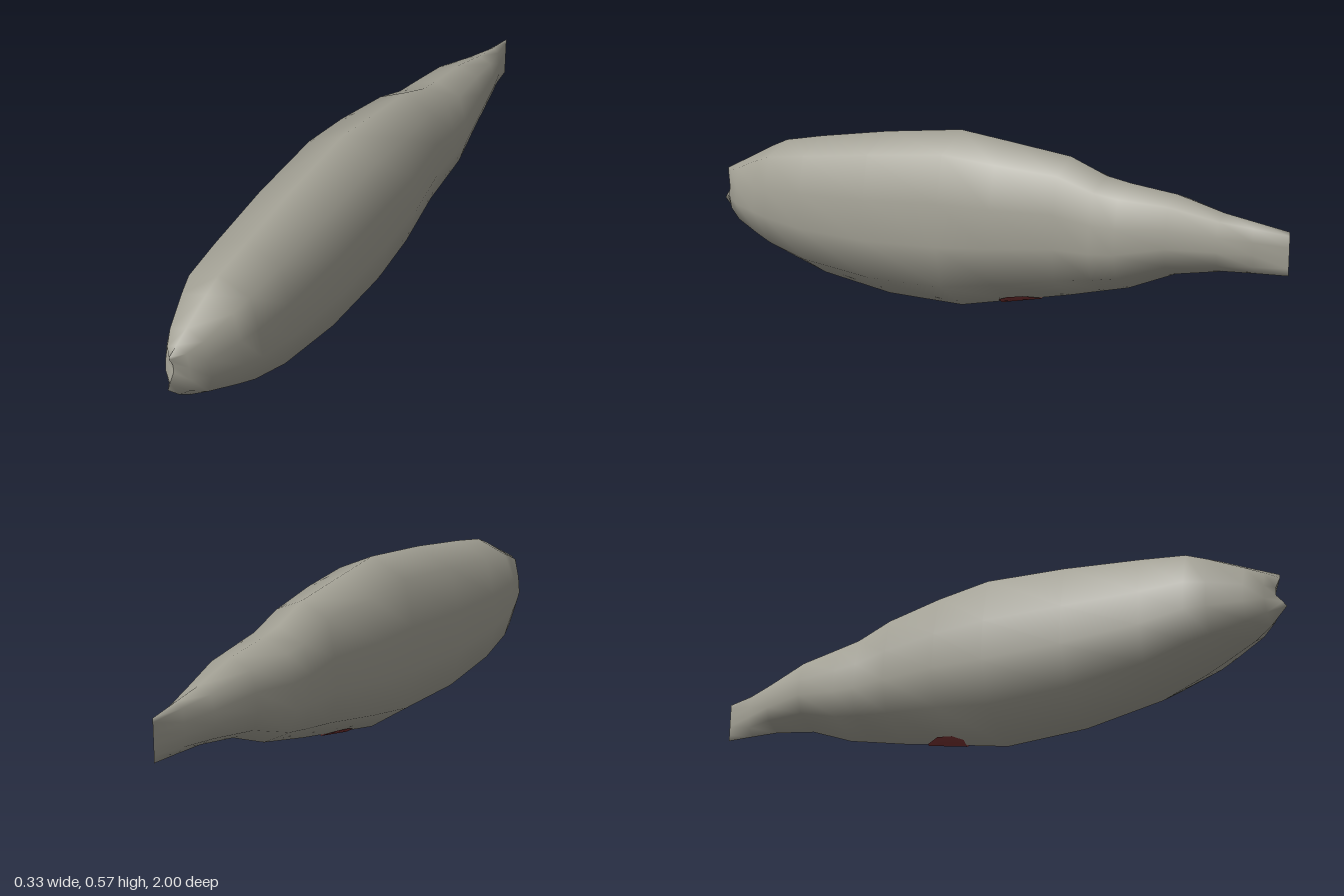
import * as THREE from 'three';

// Body stations from tail to nose: z, top y, bottom y, half width
const STATIONS = [
  [-1, 0.385, 0.255, 0],
  [-0.9, 0.4, 0.248, 0.028],
  [-0.8, 0.415, 0.24, 0.058],
  [-0.65, 0.452, 0.21, 0.093],
  [-0.5, 0.467, 0.145, 0.117],
  [-0.42, 0.48, 0.124, 0.119],
  [-0.3, 0.525, 0.092, 0.124],
  [-0.1, 0.547, 0.045, 0.155],
  [0.08, 0.566, 0.002, 0.161],
  [0.35, 0.532, 0, 0.163],
  [0.6, 0.49, 0.033, 0.151],
  [0.74, 0.462, 0.08, 0.139],
  [0.8, 0.435, 0.105, 0.118],
  [0.9, 0.383, 0.15, 0.077],
  [0.95, 0.358, 0.185, 0.043],
  [0.985, 0.34, 0.235, 0],
];

// Half cross-section from the back ridge to the keel: width share, height share
const HALF = [[0, 1], [0.74, 0.9], [0.93, 0.64], [1, 0.4], [0.8, 0.16], [0, 0]];
const SECTION = [...HALF, ...HALF.slice(1, -1).reverse().map(([w, h]) => [-w, h])];

// Small dent that forms the mouth, by height share on the last station
const mouthShift = (h) => (h < 0.05 ? 0.015 : h < 0.3 ? 0.005 : h < 0.8 ? -0.015 : 0);

// Interpolated station at any z
function stationAt(z) {
  let i = 0;
  while (i < STATIONS.length - 2 && STATIONS[i + 1][0] < z) i++;
  const a = STATIONS[i], b = STATIONS[i + 1];
  const t = (z - a[0]) / (b[0] - a[0]);
  return a.map((v, k) => v + (b[k] - v) * t);
}

// Skin a grid of rows of points; closed joins the last column to the first
function loft(rows, closed) {
  const n = rows[0].length;
  const index = [];
  for (let i = 0; i < rows.length - 1; i++) {
    for (let j = 0; j < (closed ? n : n - 1); j++) {
      const k = (j + 1) % n;
      const a = i * n + j, b = i * n + k, c = a + n, d = b + n;
      index.push(a, c, b, b, c, d);
    }
  }
  const geo = new THREE.BufferGeometry();
  geo.setAttribute('position', new THREE.Float32BufferAttribute(rows.flat(2), 3));
  geo.setIndex(index);
  geo.computeVertexNormals();
  return geo;
}

export function createModel() {
  const group = new THREE.Group();
  const skin = new THREE.MeshStandardMaterial({ color: 0xa3a195, side: THREE.DoubleSide });
  skin.name = 'grey skin';
  const red = new THREE.MeshStandardMaterial({ color: 0x7d3535, side: THREE.DoubleSide });
  red.name = 'dark red';

  // Body: smooth loft pinched to an upright edge at tail and nose
  const last = STATIONS.length - 1;
  const rings = STATIONS.map(([z, top, bottom, w], i) => SECTION.map(([sx, sy]) => [
    sx * w,
    bottom + (top - bottom) * sy,
    z + (i === last ? mouthShift(sy) : 0),
  ]));
  const body = new THREE.Mesh(loft(rings, true), skin);
  body.name = 'body';
  group.add(body);

  // Vent: thin patch folded over the keel
  const [lowW, lowH] = HALF[4];
  const rows = [[-0.205, 0.006], [-0.155, 0.03], [-0.1, 0.034], [-0.065, 0.022]].map(([z, half]) => {
    const [, top, bottom, w] = stationAt(z);
    const slope = ((top - bottom) * lowH) / (w * lowW);
    return [1, 0, -1].map((s) => [s * half, bottom + slope * half * Math.abs(s) - 0.004, z]);
  });
  const vent = new THREE.Mesh(loft(rows, false), red);
  vent.name = 'vent';
  group.add(vent);

  return group;
}
